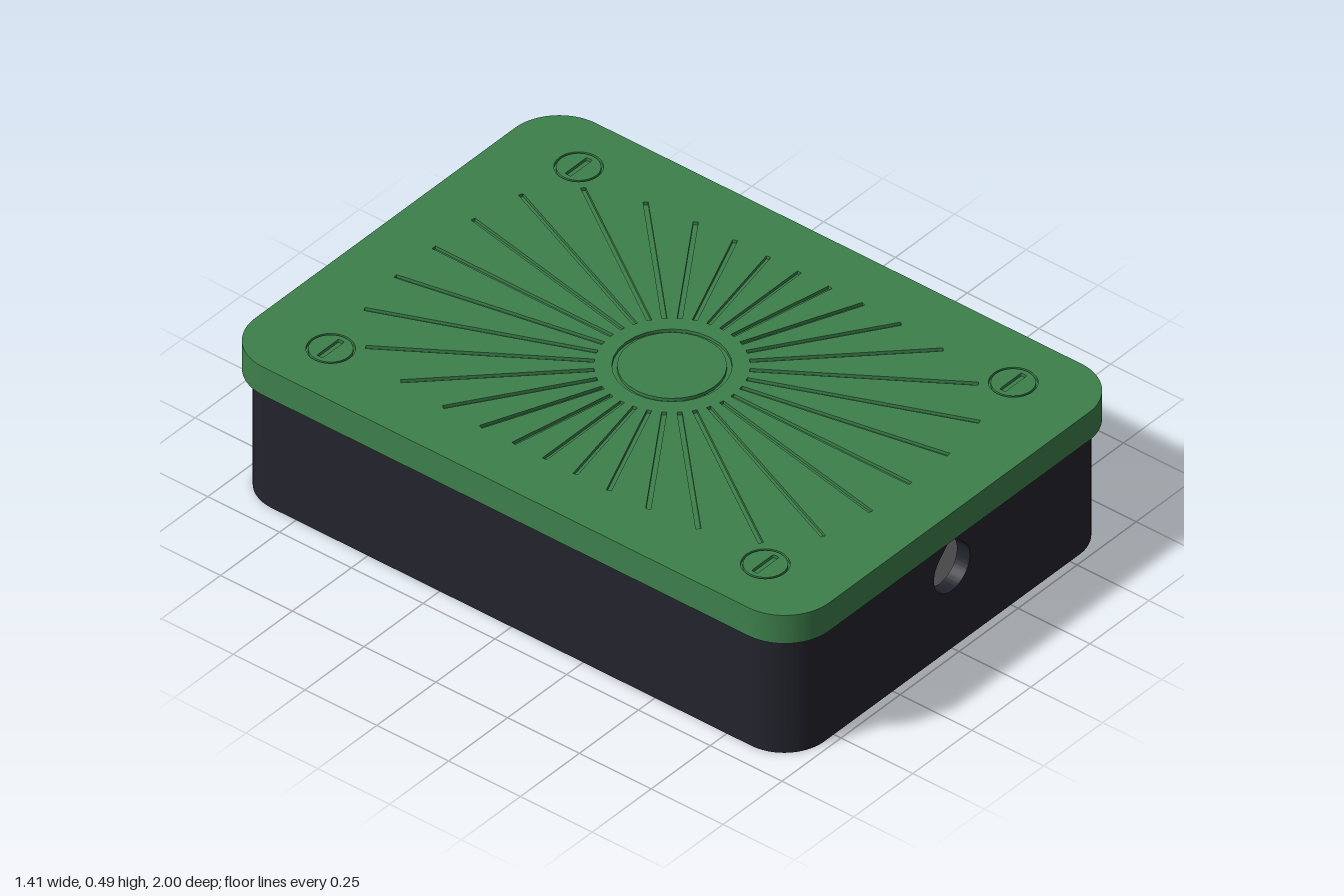
import * as THREE from 'three';
import { toCreasedNormals } from 'three/addons/utils/BufferGeometryUtils.js';

const mat = (name, color) => Object.assign(new THREE.MeshStandardMaterial({ color }), { name });

export function createModel() {
  const green = mat('lidGreen', 0x3e804c);
  const dark = mat('boxBlack', 0x23232d);
  const grey = mat('moduleGrey', 0x88888c);
  const model = new THREE.Group();
  model.name = 'screwLidEnclosure';

  const add = (name, geometry, material, parent = model) => {
    const mesh = new THREE.Mesh(geometry, material);
    mesh.name = name;
    parent.add(mesh);
    return mesh;
  };
  // Extrude a plan outline upward from y0 to y1
  const slab = (shape, y0, y1) => {
    const g = new THREE.ExtrudeGeometry(shape, { depth: y1 - y0, bevelEnabled: false, curveSegments: 14 });
    g.rotateX(-Math.PI / 2).translate(0, y0, 0);
    return toCreasedNormals(g, 0.5);
  };
  const roundRect = (w, d, r, Type = THREE.Shape) => {
    const s = new Type();
    s.moveTo(w, -d + r);
    s.lineTo(w, d - r);
    s.absarc(w - r, d - r, r, 0, Math.PI / 2);
    s.lineTo(-w + r, d);
    s.absarc(-w + r, d - r, r, Math.PI / 2, Math.PI);
    s.lineTo(-w, -d + r);
    s.absarc(-w + r, -d + r, r, Math.PI, Math.PI * 1.5);
    s.lineTo(w - r, -d);
    s.absarc(w - r, -d + r, r, Math.PI * 1.5, Math.PI * 2);
    return s;
  };
  const ring = (w, d, r, t, y0, y1) => {
    const s = roundRect(w, d, r);
    s.holes.push(roundRect(w - t, d - t, r - t, THREE.Path));
    return slab(s, y0, y1);
  };
  const disc = (x, y, r, Type = THREE.Shape) => new Type().absarc(x, y, r, 0, Math.PI * 2);

  // Box: floor, two side walls with the corners, two end walls
  const W = 0.68, D = 0.975, R = 0.14, T = 0.045, TOP = 0.44;
  add('boxFloor', slab(roundRect(W, D, R), 0, 0.04), dark);
  for (const side of [1, -1]) {
    const s = new THREE.Shape();
    s.moveTo(W - R, -D);
    s.absarc(W - R, -D + R, R, -Math.PI / 2, 0);
    s.lineTo(W, D - R);
    s.absarc(W - R, D - R, R, 0, Math.PI / 2);
    s.lineTo(W - R, D - T);
    s.absarc(W - R, D - R, R - T, Math.PI / 2, 0, true);
    s.lineTo(W - T, -D + R);
    s.absarc(W - R, -D + R, R - T, 0, -Math.PI / 2, true);
    const wall = add('sideWall', slab(s, 0.04, TOP), dark);
    if (side < 0) wall.rotation.y = Math.PI;

    // End wall with a teardrop cable hole
    const e = new THREE.Shape();
    e.moveTo(-W + R, 0.04);
    e.lineTo(W - R, 0.04);
    e.lineTo(W - R, TOP);
    e.lineTo(-W + R, TOP);
    const hole = new THREE.Path();
    hole.moveTo(0, 0.378);
    hole.absarc(0, 0.27, 0.076, Math.PI * 0.75, Math.PI * 2.25);
    hole.lineTo(0, 0.378);
    e.holes.push(hole);
    const g = new THREE.ExtrudeGeometry(e, { depth: T, bevelEnabled: false, curveSegments: 32 });
    g.translate(0, 0, D - T);
    const end = add('endWall', toCreasedNormals(g, 0.5), dark);
    if (side < 0) end.rotation.y = Math.PI;
  }

  // Lid: skirt, plate and inner lip
  const lid = new THREE.Group();
  lid.name = 'lid';
  model.add(lid);
  const LW = 0.705, LD = 1, LR = 0.155, FACE = 0.475, LID = 0.485;
  add('lidSkirt', ring(LW, LD, LR, 0.02, 0.39, TOP), green, lid);
  add('lidPlate', slab(roundRect(LW, LD, LR), TOP, FACE), green, lid);
  add('lidLip', ring(0.61, 0.85, 0.08, 0.03, 0.365, TOP), green, lid);
  add('lidSnapRidge', ring(0.63, 0.925, 0.09, 0.025, 0.32, 0.365), green, lid);

  // Lid face with engraved sunburst, centre ring and screw outlines
  const face = roundRect(LW, LD, LR);
  face.holes.push(disc(0, 0, 0.162, THREE.Path));
  const RAYS = 32, half = 0.007;
  for (let i = 0; i < RAYS; i++) {
    const a = (i / RAYS) * Math.PI * 2, c = Math.cos(a), s = Math.sin(a);
    const reach = ((Math.abs(c) / 0.54) ** 4 + (Math.abs(s) / 0.83) ** 4) ** -0.25;
    const pts = [[0.21, -half], [reach, -half], [reach, half], [0.21, half]]
      .map(([u, v]) => new THREE.Vector2(u * c - v * s, u * s + v * c));
    face.holes.push(new THREE.Path(pts));
  }
  add('centreDisc', slab(disc(0, 0, 0.148), FACE, LID), green, lid);
  for (const x of [-0.525, 0.525]) {
    for (const z of [-0.757, 0.757]) {
      face.holes.push(disc(x, z, 0.067, THREE.Path));
      const head = disc(0, 0, 0.061);
      head.holes.push(roundRect(0.046, 0.01, 0.004, THREE.Path));
      add('screwHead', slab(head, FACE, LID), green, lid).position.set(x, 0, z);
      // Screw post inside the box
      const post = add('screwPost', new THREE.CylinderGeometry(0.075, 0.075, 0.28, 24), dark);
      post.position.set(x, 0.18, z);
    }
  }
  add('lidFace', slab(face, FACE, LID), green, lid);

  // Module standing behind the front cable hole
  const unit = add('innerModule', new THREE.BoxGeometry(0.7, 0.39, 0.02), grey);
  unit.position.set(0, 0.235, 0.88);

  return model;
}
